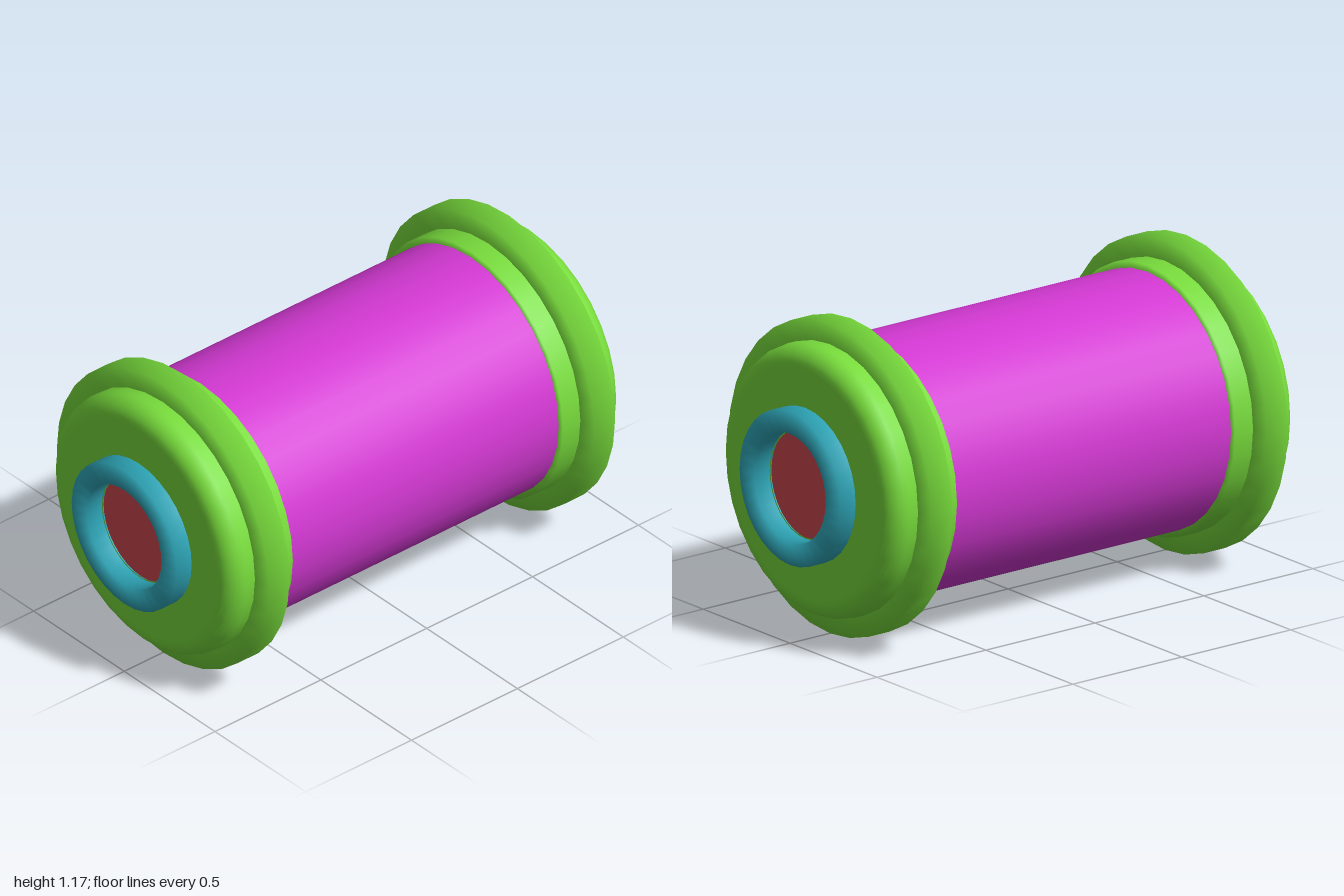
import * as THREE from 'three';

const SEGMENTS = 32;
const AXIS_Y = 0.585;

const mat = (color) => new THREE.MeshStandardMaterial({ color });
const green = mat(0x78dc3c);
const purple = mat(0xd238d2);
const teal = mat(0x2fa9bb);
const red = mat(0xd24b50);

// Revolve a [radius, z] profile about the z axis (profile runs from back to front)
function turned(name, profile, material) {
  const points = profile.map(([r, z]) => new THREE.Vector2(r, z));
  const geometry = new THREE.LatheGeometry(points, SEGMENTS).rotateX(Math.PI / 2);
  const mesh = new THREE.Mesh(geometry, material);
  mesh.name = name;
  return mesh;
}

// One complete end, facing +z
function createEnd(name) {
  const end = new THREE.Group();
  end.name = name;

  // Cap with a rounded outer corner
  const capR = 0.507, capFront = 0.93, fillet = 0.075;
  const cap = [[0.47, 0.638], [capR, 0.638]];
  for (let i = 0; i <= 6; i++) {
    const a = (i / 6) * Math.PI / 2;
    cap.push([capR - fillet + fillet * Math.cos(a), capFront - fillet + fillet * Math.sin(a)]);
  }
  cap.push([0.2, capFront]);
  end.add(turned('cap', cap, green));

  // Protruding flange around the cap
  end.add(turned('flange', [[0.49, 0.72], [0.585, 0.72], [0.585, 0.817], [0.49, 0.817]], green));

  // Collar ring with an open bore
  end.add(turned('collar', [[0.29, 0.9], [0.29, 1], [0.205, 1], [0.205, 0.9]], teal));

  // Flat disc at the bottom of the bore
  const disc = new THREE.Mesh(new THREE.CircleGeometry(0.206, SEGMENTS), red);
  disc.name = 'coreFace';
  disc.position.z = 0.922;
  end.add(disc);
  return end;
}

export function createModel() {
  const model = new THREE.Group();
  model.name = 'cylinderCartridge';

  // Long central barrel
  const barrel = new THREE.Mesh(
    new THREE.CylinderGeometry(0.483, 0.483, 1.3, SEGMENTS, 1, true).rotateX(Math.PI / 2), purple);
  barrel.name = 'barrel';
  model.add(barrel);

  // Matching ends
  const front = createEnd('frontEnd');
  const back = createEnd('backEnd');
  back.rotation.y = Math.PI;
  model.add(front, back);

  model.children.forEach((part) => { part.position.y = AXIS_Y; });
  return model;
}
